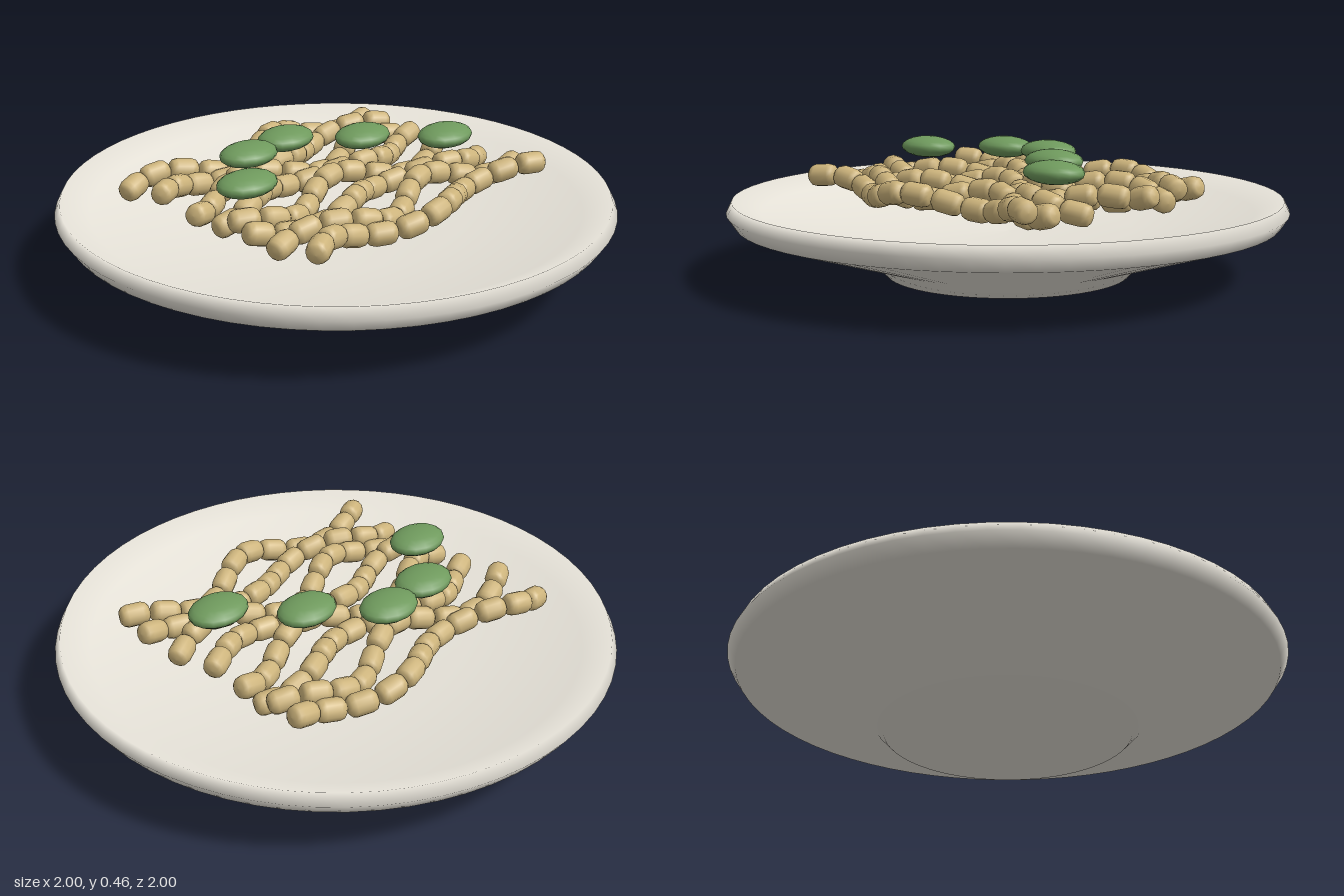
import * as THREE from 'three';

const material = (color, extra = {}) => new THREE.MeshStandardMaterial({ color, ...extra });
const profile = (pts) => pts.map(([r, y]) => new THREE.Vector2(r, y));

export function createModel() {
  const model = new THREE.Group();
  model.name = 'plateOfFood';

  // Plate: underside, foot, rim and shallow dish in one turned profile
  const plate = new THREE.Mesh(
    new THREE.LatheGeometry(profile([
      [0, 0], [0.44, 0], [0.49, 0.05], [0.97, 0.2], [1, 0.245],
      [0.98, 0.285], [0.88, 0.24], [0.45, 0.165], [0, 0.15],
    ]), 64),
    material(0xe8e4da));
  plate.name = 'plate';
  model.add(plate);

  // Wavy strands, each a chain of short rounded pieces
  const pieceGeometry = new THREE.LatheGeometry(profile([
    [0, -0.054], [0.024, -0.052], [0.036, -0.042], [0.041, -0.026],
    [0.041, 0.026], [0.036, 0.042], [0.024, 0.052], [0, 0.054],
  ]), 12);
  const pastaMaterial = material(0xcdb47c);
  const up = new THREE.Vector3(0, 1, 0);
  const strandCount = 8, pieceCount = 12;
  for (let s = 0; s < strandCount; s++) {
    const strand = new THREE.Group();
    strand.name = `strand${s + 1}`;
    const point = (x) => new THREE.Vector3(
      x,
      0.32 + 0.022 * Math.sin(12 * x + 2 * s),
      -0.42 + 0.122 * s + 0.06 * Math.sin(9 * x + 2.92 - 1.03 * s));
    for (let i = 0; i < pieceCount; i++) {
      const x = -0.54 + (1.08 * i) / (pieceCount - 1);
      const piece = new THREE.Mesh(pieceGeometry, pastaMaterial);
      piece.name = 'pastaPiece';
      piece.position.copy(point(x));
      const direction = point(x + 0.02).sub(point(x - 0.02)).normalize();
      piece.quaternion.setFromUnitVectors(up, direction);
      strand.add(piece);
    }
    model.add(strand);
  }

  // Flattened green leaves on top
  const leafGeometry = new THREE.SphereGeometry(1, 16, 10);
  const leafMaterial = material(0x6f9a5d);
  [[-0.44, -0.005], [-0.23, -0.21], [-0.02, -0.23], [0.19, -0.04], [0.4, 0.18]].forEach(([x, z]) => {
    const leaf = new THREE.Mesh(leafGeometry, leafMaterial);
    leaf.name = 'leaf';
    leaf.scale.set(0.116, 0.04, 0.09);
    leaf.position.set(x, 0.42, z);
    model.add(leaf);
  });

  return model;
}
